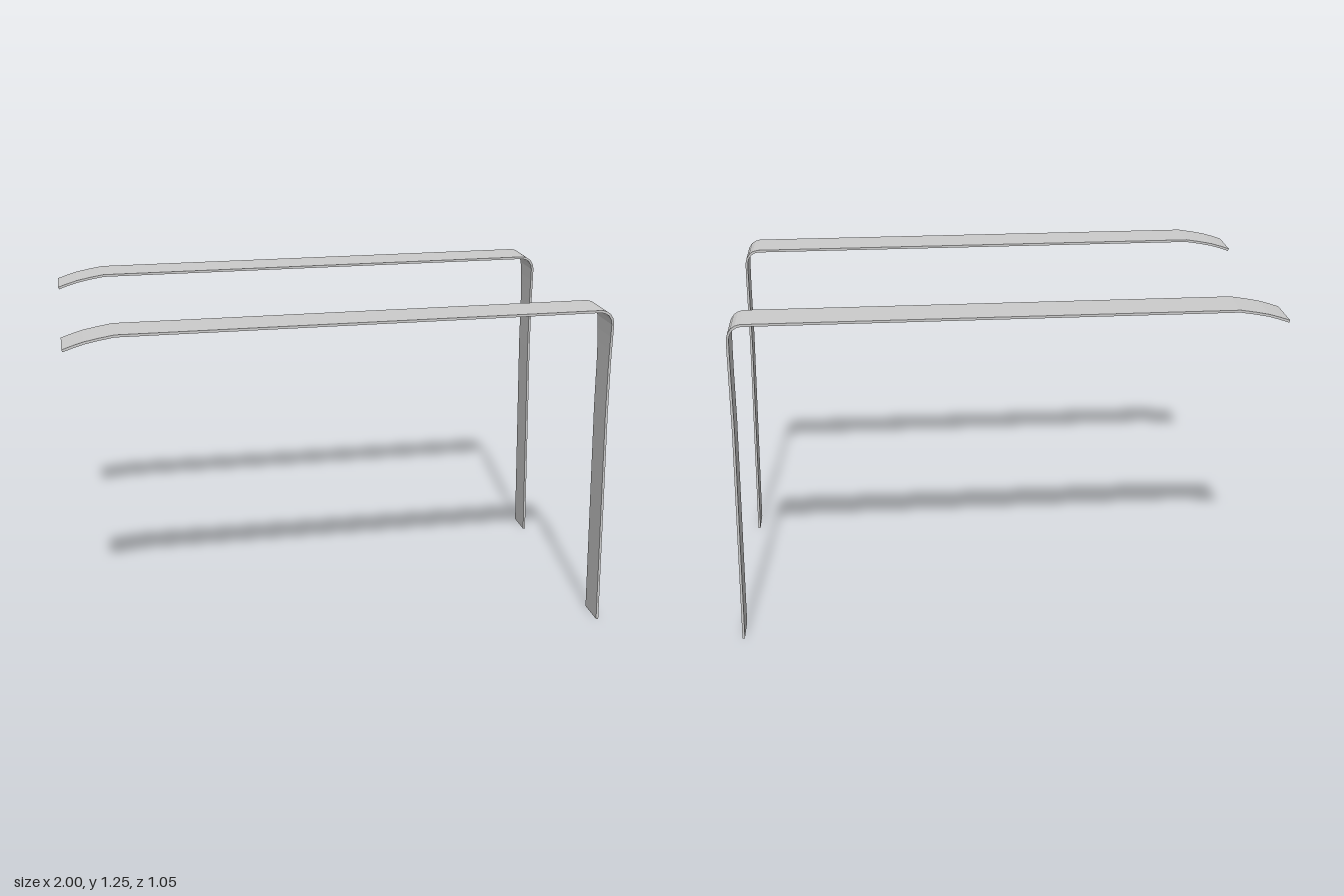
import * as THREE from 'three';

const THICKNESS = 0.009;

// Outer edge of the bent strip: x, y, half width
const PROFILE = [
  [-1, 1.212, 0.0775], [-0.965, 1.224, 0.0775], [-0.925, 1.236, 0.0775], [-0.875, 1.246, 0.0775],
  [-0.82, 1.255, 0.0775], [0.92, 1.255, 0.0775], [0.938, 1.25, 0.0775], [0.953, 1.24, 0.0775],
  [0.965, 1.222, 0.075], [0.971, 1.2, 0.071], [0.973, 1.15, 0.065], [0.974, 1.1, 0.0605],
  [0.975, 1.04, 0.0575], [0.977, 0.85, 0.0575], [1, 0, 0.0575],
];

// Sweeps a thin rectangular section along the profile
function stripGeometry() {
  const pts = PROFILE.map(([x, y]) => new THREE.Vector2(x, y));
  const last = pts.length - 1;
  const normal = (i) => {
    const d = pts[i + 1].clone().sub(pts[i]).normalize();
    return new THREE.Vector2(d.y, -d.x);
  };
  const positions = [];
  pts.forEach((p, i) => {
    const a = normal(Math.max(i - 1, 0));
    const b = normal(Math.min(i, last - 1));
    const miter = a.clone().add(b).normalize();
    const inner = p.clone().addScaledVector(miter, THICKNESS / miter.dot(b));
    // Square the foot off on the floor
    if (i === last) inner.y = 0;
    const w = PROFILE[i][2];
    positions.push(p.x, p.y, w, p.x, p.y, -w, inner.x, inner.y, -w, inner.x, inner.y, w);
  });
  const index = [];
  const quad = (a, b, c, d) => index.push(a, b, c, a, c, d);
  for (let i = 0; i < last; i++) {
    for (let k = 0; k < 4; k++) {
      const n = (k + 1) % 4;
      quad(i * 4 + k, (i + 1) * 4 + k, (i + 1) * 4 + n, i * 4 + n);
    }
  }
  // End caps
  quad(0, 1, 2, 3);
  quad(last * 4 + 3, last * 4 + 2, last * 4 + 1, last * 4);
  const geometry = new THREE.BufferGeometry();
  geometry.setAttribute('position', new THREE.Float32BufferAttribute(positions, 3));
  geometry.setIndex(index);
  const flat = geometry.toNonIndexed();
  flat.computeVertexNormals();
  return flat;
}

export function createModel() {
  const model = new THREE.Group();
  model.name = 'pairOfBentStraps';
  const geometry = stripGeometry();
  const material = new THREE.MeshStandardMaterial({ color: 0xcccccc, flatShading: true });
  // Two matching straps, front and back
  for (const [name, z] of [['frontStrap', 0.45], ['backStrap', -0.45]]) {
    const strap = new THREE.Mesh(geometry, material);
    strap.name = name;
    strap.position.z = z;
    model.add(strap);
  }
  return model;
}
